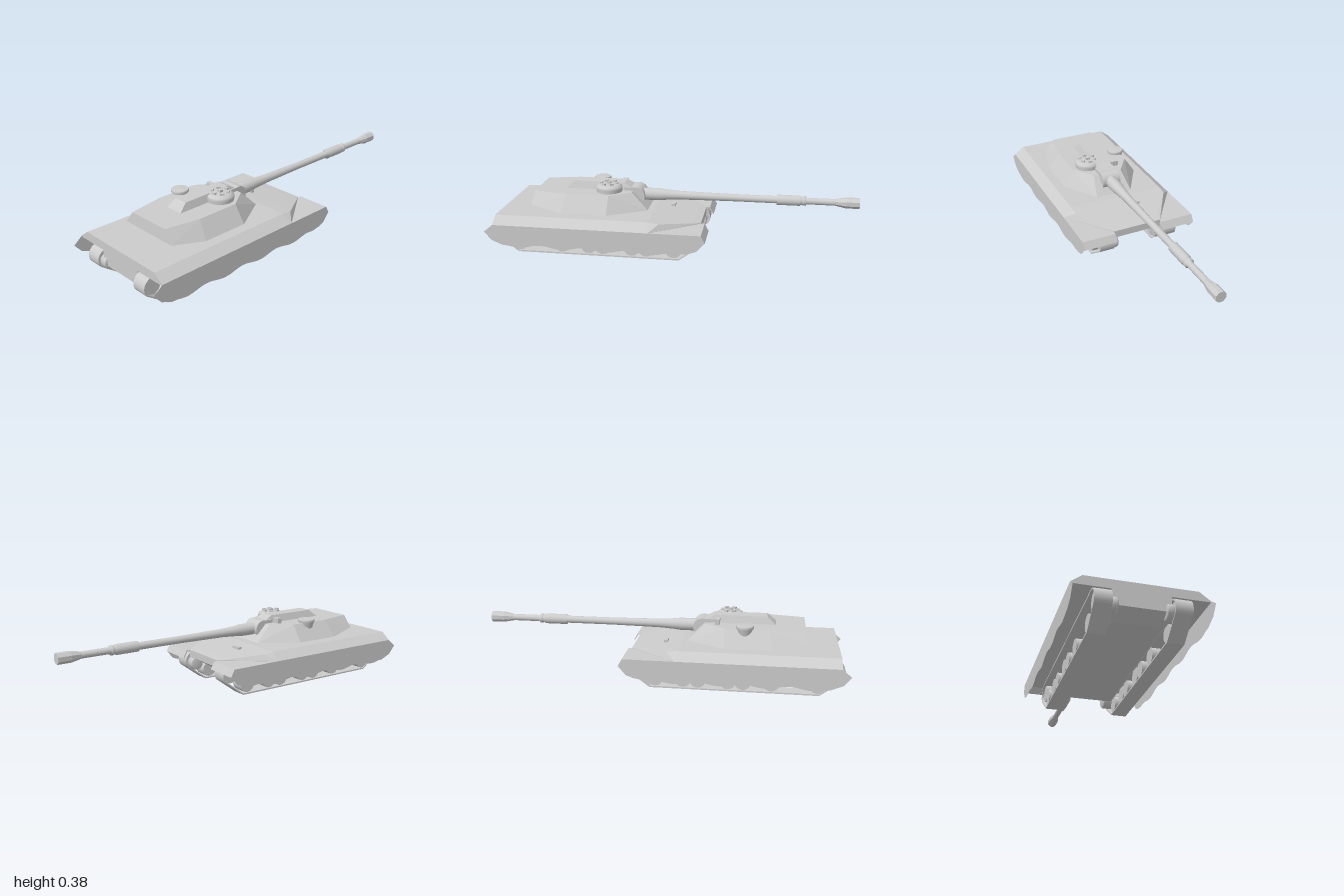
import * as THREE from 'three';
import { ConvexGeometry } from 'three/addons/geometries/ConvexGeometry.js';

const grey = new THREE.MeshStandardMaterial({ color: 0xcccccc });
const thin = new THREE.MeshStandardMaterial({ color: 0xcccccc, side: THREE.DoubleSide });

export function createModel() {
  const model = new THREE.Group();

  const add = (name, geometry, x = 0, y = 0, z = 0, material = grey) => {
    const mesh = new THREE.Mesh(geometry, material);
    mesh.name = name;
    mesh.position.set(x, y, z);
    model.add(mesh);
    return mesh;
  };
  const box = (name, w, h, d, x, y, z) => add(name, new THREE.BoxGeometry(w, h, d), x, y, z);
  // Faceted solid around points given for one side and mirrored in x
  const solid = (name, points) => add(name, new ConvexGeometry(points.flatMap(([x, y, z]) =>
    [new THREE.Vector3(x, y, z), new THREE.Vector3(-x, y, z)])));
  // Shape drawn as (z, y), given a thickness between two x positions
  const slab = (name, shape, x0, x1, material) => {
    const g = new THREE.ExtrudeGeometry(shape, { depth: x1 - x0, bevelEnabled: false, curveSegments: 10 });
    g.rotateY(-Math.PI / 2);
    return add(name, g, x1, 0, 0, material);
  };
  const shapeOf = (pts) => new THREE.Shape(pts.map((p) => new THREE.Vector2(...p)));
  const drum = (name, r, w, x, y, z, sides = 24) =>
    add(name, new THREE.CylinderGeometry(r, r, w, sides).rotateZ(Math.PI / 2), x, y, z);
  const lathe = (pts, sides = 32) => new THREE.LatheGeometry(pts.map((p) => new THREE.Vector2(...p)), sides);

  // Hull: wide upper body with sloped nose, and narrow tub
  solid('upperHull', [
    [0.275, 0.228, 0.95], [0.275, 0.228, 0.11], [0.275, 0.22, 0.05], [0.33, 0.187, 0.95], [0.33, 0.187, 0.1],
    [0.14, 0.197, -0.12], [0.14, 0.19, -0.16], [0.33, 0.18, 0.95], [0.33, 0.18, 0.1], [0.14, 0.18, -0.16],
  ]);
  solid('lowerHull', [
    [0.14, 0.185, 0.95], [0.14, 0.1, 0.95], [0.14, 0.075, 0.89], [0.12, 0.06, 0.87],
    [0.14, 0.185, -0.16], [0.14, 0.15, -0.16], [0.14, 0.075, -0.02], [0.12, 0.06, 0.0],
  ]);
  box('hullPeriscope', 0.055, 0.02, 0.022, -0.07, 0.218, 0.02);

  // Track outline: two end curves joined by sloped runs and a flat bottom
  const trackLoop = (Type, t) => {
    const s = new Type();
    const r = 0.056 - t;
    s.moveTo(0.85, t);
    s.lineTo(0.925 + r * 0.8, 0.122 - r * 0.6);
    s.absarc(0.925, 0.122, r, -0.64, Math.PI / 2, false);
    s.lineTo(-0.125, 0.122 + r);
    s.absarc(-0.125, 0.122, r, Math.PI / 2, Math.PI + 0.64, false);
    s.lineTo(-0.05, t);
    s.closePath();
    return s;
  };

  // Skirt with a scalloped lower edge
  const skirt = [[0.95, 0.187], [1, 0.147], [0.96, 0.1], [0.9, 0.075]];
  for (let i = 0; i <= 40; i++) {
    const z = 0.87 - i * 0.0235;
    skirt.push([z, 0.073 - 0.009 * Math.cos(((z - 0.09) / 0.24) * Math.PI * 2)]);
  }
  skirt.push([-0.12, 0.085], [-0.16, 0.1], [-0.2, 0.147], [-0.18, 0.187]);

  for (const side of [-1, 1]) {
    const span = (a, b) => (side > 0 ? [a, b] : [-b, -a]);
    const skirtGeometry = new THREE.ShapeGeometry(shapeOf(skirt)).rotateY(-Math.PI / 2);
    add('sideSkirt', skirtGeometry, side * 0.33, 0, 0, thin);
    slab('frontFender', shapeOf([[0.12, 0.187], [0.12, 0.181], [-0.176, 0.181], [-0.196, 0.147], [-0.202, 0.147], [-0.18, 0.187]]),
      ...span(0.14, 0.33));

    const loop = trackLoop(THREE.Shape, 0);
    loop.holes.push(trackLoop(THREE.Path, 0.008));
    slab('track', loop, ...span(0.145, 0.229));

    for (const z of [0.84, 0.6, 0.45, 0.37, 0.21, 0.13, -0.02])
      drum('roadWheel', 0.043, 0.075, side * 0.187, 0.053, z);
    for (const z of [0.925, -0.125]) {
      drum('endWheel', 0.046, 0.06, side * 0.187, 0.122, z);
      const hub = lathe([[0, -0.03], [0.039, -0.03], [0.039, 0.02], [0.034, 0.028], [0, 0.028]], 24);
      add('wheelHub', hub.rotateZ(side * Math.PI / 2), side * 0.14, 0.11, z);
    }
  }

  // Turret with sloped sides and an undercut bustle
  add('turretRing', new THREE.CylinderGeometry(0.19, 0.19, 0.012, 40), 0, 0.23, 0.42);
  solid('turret', [
    [0.105, 0.235, 0.14], [0.227, 0.235, 0.345], [0.227, 0.235, 0.6], [0.18, 0.26, 0.775],
    [0.085, 0.327, 0.23], [0.165, 0.327, 0.345], [0.165, 0.327, 0.58], [0.128, 0.327, 0.77],
  ]);
  solid('roofHump', [
    [0.055, 0.32, 0.62], [0.039, 0.367, 0.565], [0.039, 0.367, 0.28], [0.055, 0.32, 0.25], [0.045, 0.345, 0.24],
  ]);
  box('sightBox', 0.045, 0.032, 0.025, -0.073, 0.34, 0.3);

  // Cupola with a ring of vision blocks
  add('cupola', lathe([[0.068, 0.31], [0.073, 0.345], [0.07, 0.358], [0.058, 0.362], [0.056, 0.369], [0, 0.37]]), 0.068, 0, 0.36);
  for (let i = 0; i < 6; i++) {
    const a = (i / 6) * Math.PI * 2;
    const block = box('visionBlock', 0.022, 0.012, 0.013, 0.068 + 0.043 * Math.sin(a), 0.373, 0.36 + 0.043 * Math.cos(a));
    block.rotation.y = a;
  }
  box('cupolaSight', 0.022, 0.014, 0.02, 0.068, 0.375, 0.36);

  // Mushroom-shaped hatch on the right roof edge
  add('roofHatch', lathe([[0.03, 0.27], [0.044, 0.328], [0.047, 0.332], [0.047, 0.343], [0.044, 0.346], [0, 0.347]]), -0.15, 0, 0.45);

  // Mantlet and gun, the gun turned along -z
  drum('mantlet', 0.05, 0.108, 0, 0.297, 0.215);
  box('mantletBlock', 0.108, 0.09, 0.06, 0, 0.3, 0.25);
  const barrel = lathe([
    [0.034, -0.2], [0.034, -0.09], [0.029, -0.05], [0.024, 0.03], [0.02, 0.3], [0.02, 0.56],
    [0.028, 0.56], [0.028, 0.685], [0.022, 0.69], [0.022, 0.7], [0.026, 0.7], [0.026, 0.715], [0.018, 0.72], [0.018, 0.88],
  ], 24).rotateX(-Math.PI / 2);
  add('gunBarrel', barrel, 0, 0.297, 0);
  const muzzle = lathe([[0.018, 0.87], [0.03, 0.93], [0.03, 1], [0, 1]], 8)
    .rotateY(Math.PI / 8).rotateX(-Math.PI / 2).toNonIndexed();
  muzzle.computeVertexNormals();
  add('muzzle', muzzle, 0, 0.297, 0);

  return model;
}
